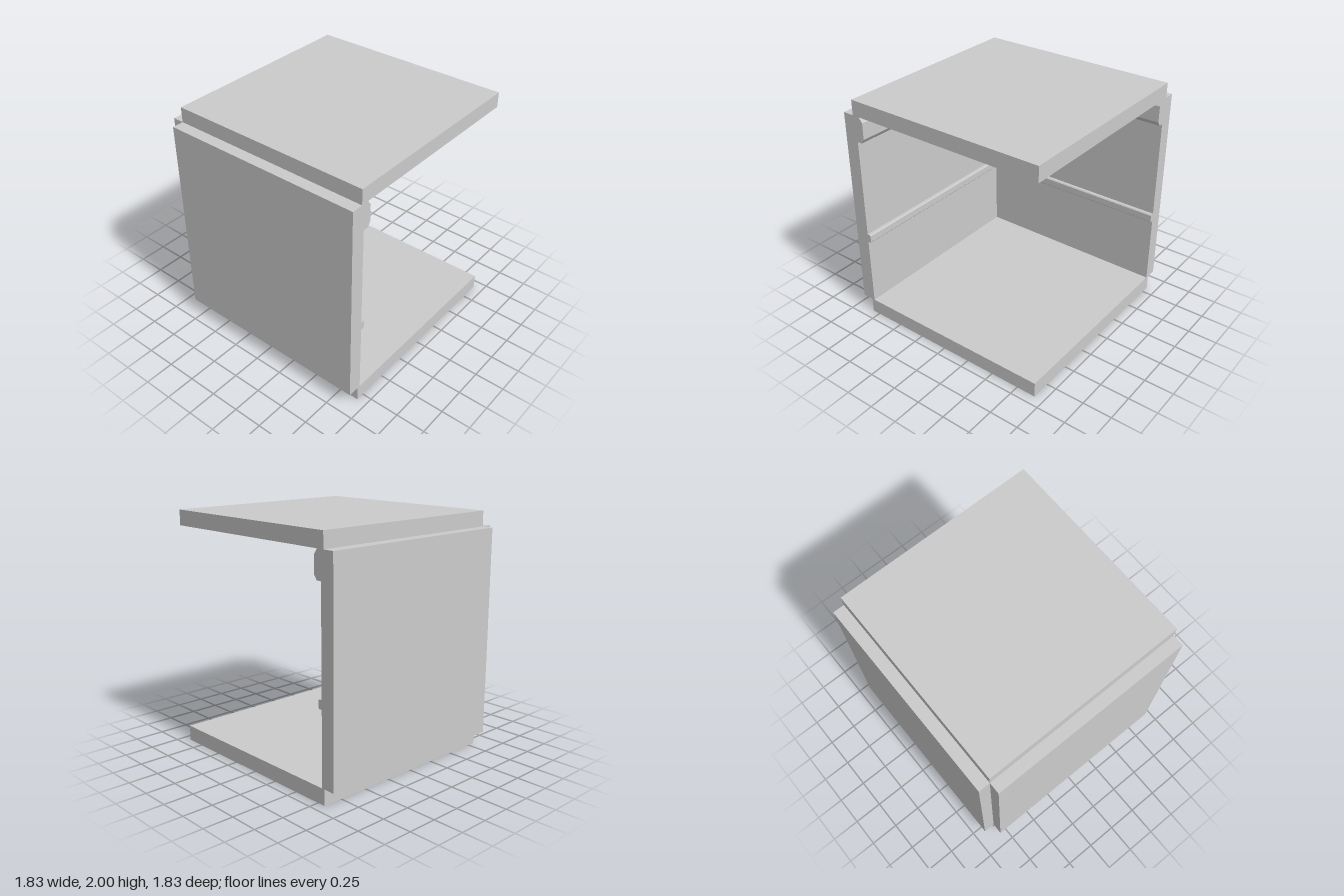
import * as THREE from 'three';

const H = 0.917;            // half width of the whole block
const E = 0.82;             // edge of the slabs, where the outer panels begin
const Y0 = 0.13, Y1 = 1.872; // top of the floor, underside of the ceiling

export function createModel() {
  const group = new THREE.Group();
  const material = new THREE.MeshStandardMaterial({ color: 0xcccccc });
  const add = (name, geometry) => {
    const mesh = new THREE.Mesh(geometry, material);
    mesh.name = name;
    group.add(mesh);
  };
  const box = (name, x0, x1, y0, y1, z0, z1) =>
    add(name, new THREE.BoxGeometry(x1 - x0, y1 - y0, z1 - z0)
      .translate((x0 + x1) / 2, (y0 + y1) / 2, (z0 + z1) / 2));

  // floor and ceiling slabs
  box('floor', -E, H, 0, Y0, -H, E);
  box('ceiling', -E, H, Y1, 2, -H, E);

  // outer wall panels, leaving a notch at the outside corner
  box('frontPanel', -E, H, Y0, Y1, E, H);
  box('sidePanel', -H, -E, Y0, Y1, -H, E);

  // wall section with rail and cornice: distance from the middle, height
  const section = [
    [E, Y0], [E, Y1], [0.755, Y1],
    [0.725, 1.83], [0.725, 1.69], [0.752, 1.652], [0.795, 1.652], // cornice
    [0.795, 0.804], [0.77, 0.804], [0.763, 0.795],
    [0.763, 0.738], [0.77, 0.73], [0.795, 0.73],                  // rail
    [0.795, Y0],
  ].map(([d, y]) => new THREE.Vector2(d, y));

  // sweep the section along both walls with a mitred inner corner
  const wall = new THREE.ExtrudeGeometry(new THREE.Shape(section),
    { depth: 2, steps: 2, bevelEnabled: false });
  const p = wall.attributes.position;
  for (let i = 0; i < p.count; i++) {
    const d = p.getX(i), y = p.getY(i), station = Math.round(p.getZ(i));
    p.setXYZ(i, station === 0 ? H : -d, y, station === 2 ? -H : d);
  }
  wall.computeVertexNormals();
  add('mouldedWalls', wall);

  return group;
}
